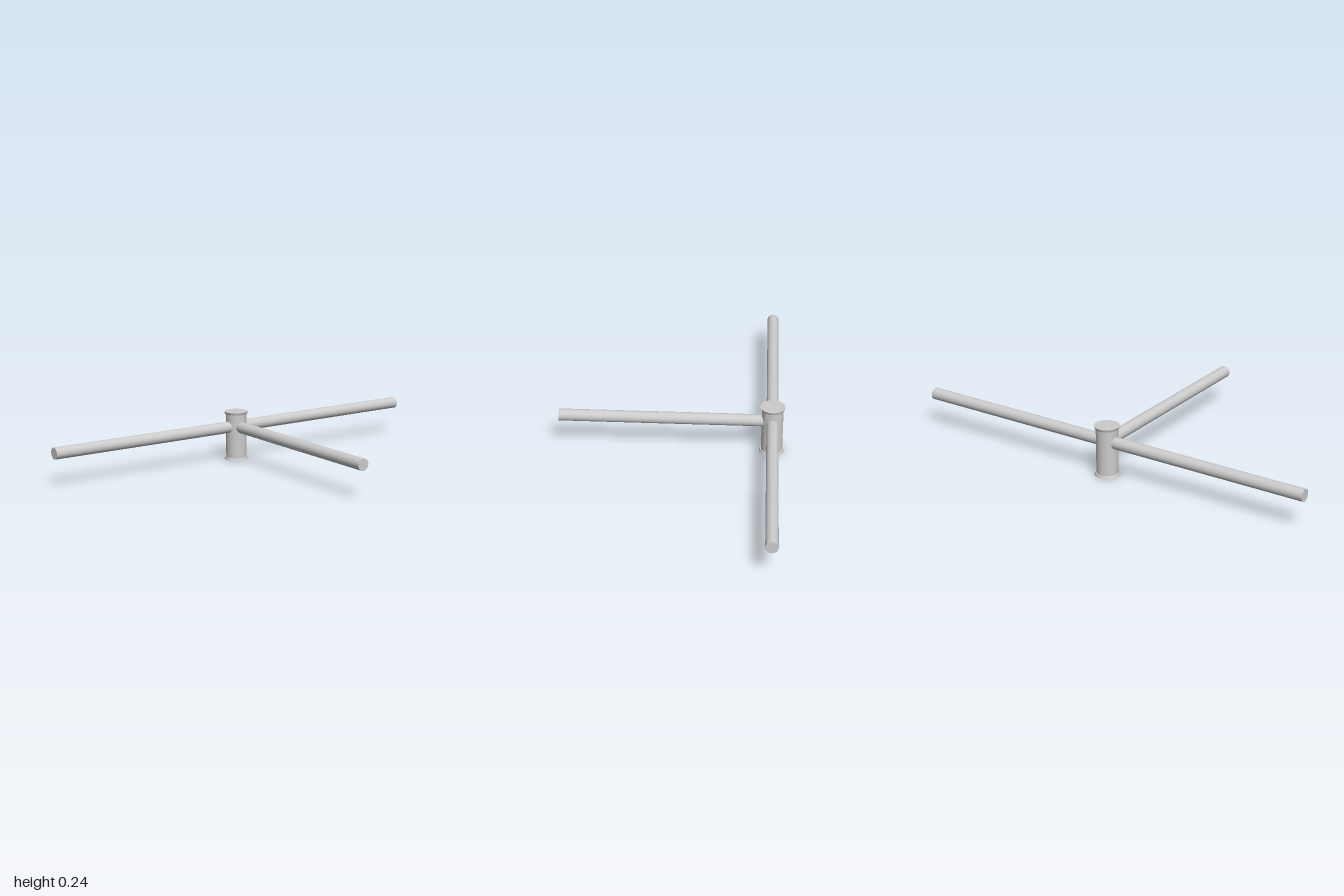
import * as THREE from 'three';

export function createModel() {
  const model = new THREE.Group();
  const material = new THREE.MeshStandardMaterial({ color: 0xcccccc });
  const postX = -0.47, height = 0.238, rimHeight = 0.012;
  const pipeY = 0.163, pipeRadius = 0.028;

  const add = (name, geometry, x, y, z) => {
    const mesh = new THREE.Mesh(geometry, material);
    mesh.name = name;
    mesh.position.set(x, y, z);
    model.add(mesh);
    return mesh;
  };

  // Upright hub with a flared rim at each end
  add('post', new THREE.CylinderGeometry(0.05, 0.05, height - 2 * rimHeight, 64, 1, true), postX, height / 2, 0);
  add('topRim', new THREE.CylinderGeometry(0.0585, 0.054, rimHeight, 64), postX, height - rimHeight / 2, 0);
  add('bottomRim', new THREE.CylinderGeometry(0.054, 0.0585, rimHeight, 64), postX, rimHeight / 2, 0);

  // Three horizontal pipes running out from inside the hub
  const pipe = (length) => new THREE.CylinderGeometry(pipeRadius, pipeRadius, length, 48);
  const inset = 0.03;
  for (const [name, side] of [['frontPipe', 1], ['backPipe', -1]]) {
    add(name, pipe(1 - inset), postX, pipeY, side * (1 + inset) / 2).rotation.x = side * Math.PI / 2;
  }
  const start = postX + inset, end = 0.528;
  add('sidePipe', pipe(end - start), (start + end) / 2, pipeY, 0).rotation.z = -Math.PI / 2;

  return model;
}
